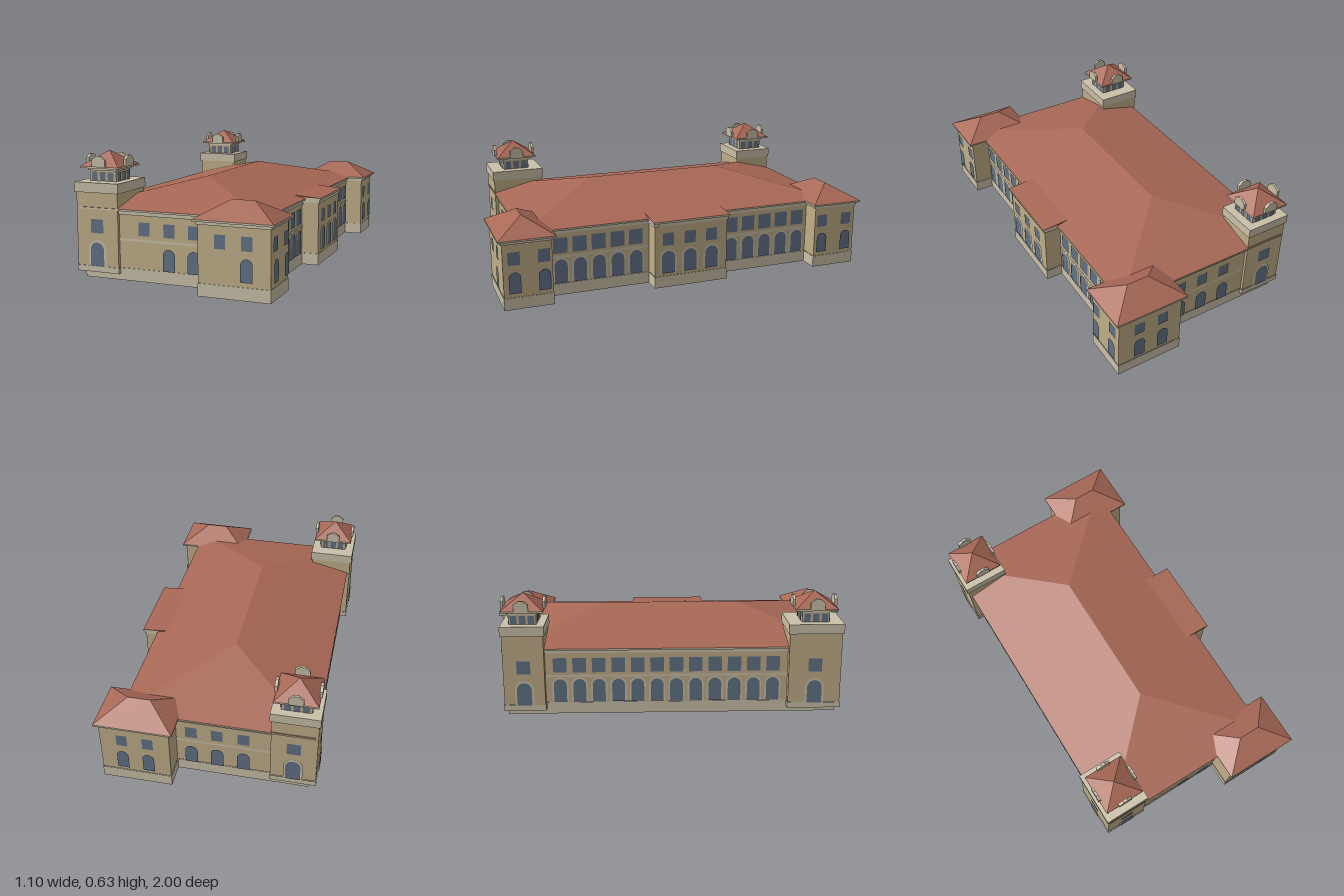
import * as THREE from 'three';
import { ConvexGeometry } from 'three/addons/geometries/ConvexGeometry.js';

const paint = (name, color, side = THREE.FrontSide) => {
  const m = new THREE.MeshStandardMaterial({ color, side });
  m.name = name;
  return m;
};

export function createModel() {
  const wall = paint('sandstone', 0xc0ae88, THREE.DoubleSide);
  const trim = paint('pale stone', 0xcac0aa, THREE.DoubleSide);
  const tile = paint('roof tile', 0xa86856);
  const glass = paint('window glass', 0x627286, THREE.DoubleSide);
  const model = new THREE.Group();
  model.name = 'building';

  const part = (name) => {
    const g = new THREE.Group();
    g.name = name;
    model.add(g);
    return g;
  };
  const add = (g, name, geo, mat) => {
    const m = new THREE.Mesh(geo, mat);
    m.name = name;
    g.add(m);
    return m;
  };

  // Rectangles are [x0, x1, z0, z1]
  const grow = ([a, b, c, d], e) => [a - e, b + e, c - e, d + e];
  const place = (geo, [a, b, c, d], y0, y1) =>
    geo.scale(b - a, y1 - y0, d - c).translate((a + b) / 2, (y0 + y1) / 2, (c + d) / 2);
  // Solid block
  const block = (g, name, r, y0, y1, mat) =>
    add(g, name, place(new THREE.BoxGeometry(1, 1, 1), r, y0, y1), mat);
  // Four walls, open above and below
  const shell = (g, name, r, y0, y1, mat) => {
    const s = Math.SQRT1_2;
    const geo = new THREE.CylinderGeometry(s, s, 1, 4, 1, true).rotateY(Math.PI / 4).toNonIndexed();
    place(geo, r, y0, y1).computeVertexNormals();
    return add(g, name, geo, mat);
  };
  // Hipped roof from an eaves rectangle and ridge points
  const roof = (g, name, [a, b, c, d], y, ridge) => {
    const pts = [[a, y, c], [b, y, c], [a, y, d], [b, y, d], ...ridge];
    return add(g, name, new ConvexGeometry(pts.map((p) => new THREE.Vector3(...p))), tile);
  };

  // Flat panel on a wall facing: u runs along the wall, d is the wall plane
  const turn = { front: 0, right: Math.PI / 2, back: Math.PI, left: -Math.PI / 2 };
  const panel = (g, name, side, u, d, w, y0, y1, arched, mat, lift) => {
    const h = w / 2, s = new THREE.Shape();
    s.moveTo(-h, y0).lineTo(h, y0);
    if (arched) s.lineTo(h, y1 - h).absarc(0, y1 - h, h, 0, Math.PI, false);
    else s.lineTo(h, y1).lineTo(-h, y1);
    s.lineTo(-h, y0);
    const m = add(g, name, new THREE.ShapeGeometry(s, 10), mat);
    const out = side === 'front' || side === 'right' ? d + lift : d - lift;
    m.rotation.y = turn[side];
    if (side === 'front' || side === 'back') m.position.set(u, 0, out);
    else m.position.set(out, 0, u);
  };
  const square = (g, side, us, d, w, y0 = 0.23, y1 = 0.297) =>
    us.forEach((u) => panel(g, 'window', side, u, d, w, y0, y1, false, glass, 0.004));
  const arch = (g, side, us, d, w, y0, y1, border = 0) =>
    us.forEach((u) => {
      if (border) panel(g, 'archTrim', side, u, d, w + 2 * border, y0, y1 + border, true, trim, 0.005);
      panel(g, 'archedWindow', side, u, d, w, y0, y1, true, glass, 0.008);
    });

  // Main block
  const main = part('mainBlock');
  const M = [-0.505, 0.425, -0.855, 0.845];
  shell(main, 'base', grow(M, 0.002), 0, 0.062, trim);
  shell(main, 'walls', M, 0.062, 0.33, wall);
  shell(main, 'floorBand', grow(M, 0.003), 0.2, 0.212, trim);
  block(main, 'cornice', grow(M, 0.006), 0.33, 0.349, trim);
  const eaves = [-0.53, 0.445, -0.875, 0.865];
  block(main, 'soffit', eaves, 0.349, 0.358, trim);
  roof(main, 'mainRoof', eaves, 0.358, [[-0.04, 0.477, -0.38], [-0.04, 0.477, 0.375]]);
  square(main, 'front', [-0.175, -0.04, 0.092], M[3], 0.06);
  arch(main, 'front', [-0.04, 0.092], M[3], 0.065, 0.064, 0.174);
  square(main, 'back', [-0.175, -0.04, 0.092], M[2], 0.06);
  arch(main, 'back', [-0.175, -0.04, 0.092], M[2], 0.065, 0.064, 0.174);
  // Arcaded wings on one long side
  for (const start of [0.27, -0.673]) {
    const bays = [0, 1, 2, 3, 4].map((i) => start + i * 0.1);
    square(main, 'right', bays, M[1], 0.074, 0.225, 0.307);
    arch(main, 'right', bays, M[1], 0.068, 0.066, 0.193, 0.01);
  }
  // Continuous arcade on the opposite side
  const arcade = Array.from({ length: 12 }, (_, i) => -0.585 + i * 0.1);
  square(main, 'left', arcade, M[0], 0.07, 0.225, 0.303);
  arch(main, 'left', arcade, M[0], 0.066, 0.066, 0.19, 0.009);

  // Projecting centre bay
  const bay = part('centreBay');
  const C = [0.4, 0.515, -0.207, 0.197];
  shell(bay, 'base', grow(C, 0.002), 0, 0.062, trim);
  shell(bay, 'walls', C, 0.062, 0.335, wall);
  block(bay, 'cornice', grow(C, 0.006), 0.335, 0.352, trim);
  const bayEaves = [0.38, 0.528, -0.217, 0.206];
  block(bay, 'soffit', bayEaves, 0.352, 0.362, trim);
  roof(bay, 'bayRoof', bayEaves, 0.362, [[0.38, 0.374, -0.217], [0.38, 0.374, 0.206]]);
  square(bay, 'right', [-0.117, 0.004, 0.125], C[1], 0.062);
  arch(bay, 'right', [-0.117, 0.004, 0.125], C[1], 0.072, 0.08, 0.2, 0.01);

  // Corner pavilions
  for (const s of [1, -1]) {
    const g = part(s > 0 ? 'frontPavilion' : 'backPavilion');
    const P = s > 0 ? [0.17, 0.525, 0.733, 0.978] : [0.17, 0.525, -0.978, -0.733];
    shell(g, 'base', grow(P, 0.002), 0, 0.062, trim);
    shell(g, 'walls', P, 0.062, 0.337, wall);
    block(g, 'cornice', grow(P, 0.006), 0.337, 0.352, trim);
    const E = grow(P, 0.021);
    block(g, 'soffit', E, 0.352, 0.361, trim);
    roof(g, 'pavilionRoof', E, 0.361, [[0.29, 0.442, s * 0.856], [0.405, 0.442, s * 0.856]]);
    const side = s > 0 ? 'front' : 'back', d = s * 0.978;
    square(g, side, [0.28, 0.412], d, 0.055);
    arch(g, side, s > 0 ? [0.412] : [0.28, 0.412], d, 0.06, 0.086, 0.195);
    square(g, 'right', [s * 0.775, s * 0.923], P[1], 0.06);
    arch(g, 'right', [s * 0.775, s * 0.923], P[1], 0.06, 0.086, 0.195);
  }

  // Towers with belvederes
  const cx = -0.427;
  const towers = [
    { name: 'frontTower', T: [-0.543, -0.312, 0.592, 0.862], cz: 0.728, side: 'front' },
    { name: 'backTower', T: [-0.543, -0.312, -0.87, -0.66], cz: -0.765, side: 'back' },
  ];
  for (const { name, T, cz, side } of towers) {
    const g = part(name);
    const around = (rx, rz = rx) => [cx - rx, cx + rx, cz - rz, cz + rz];
    shell(g, 'base', grow(T, 0.003), 0.032, 0.062, trim);
    shell(g, 'walls', T, 0.062, 0.432, wall);
    block(g, 'parapet', grow(T, 0.007), 0.432, 0.482, trim);
    const d = side === 'front' ? T[3] : T[2];
    const mid = (T[2] + T[3]) / 2;
    for (const [f, u, at] of [[side, cx, d], ['left', mid, T[0]]]) {
      square(g, f, [u], at, 0.07, 0.23, 0.3);
      arch(g, f, [u], at, 0.076, 0.062, 0.184, 0.011);
    }

    // Belvedere
    const B = around(0.075, 0.07);
    block(g, 'belvedere', B, 0.482, 0.54, wall);
    block(g, 'belvedereCornice', grow(B, 0.006), 0.535, 0.548, trim);
    block(g, 'belvedereSoffit', around(0.108), 0.548, 0.557, trim);
    roof(g, 'towerRoof', around(0.108), 0.557, [[cx, 0.632, cz]]);
    const steps = [-0.045, 0, 0.045];
    square(g, 'front', steps.map((v) => cx + v), B[3], 0.033, 0.484, 0.528);
    square(g, 'back', steps.map((v) => cx + v), B[2], 0.033, 0.484, 0.528);
    square(g, 'right', steps.map((v) => cz + v), B[1], 0.033, 0.484, 0.528);
    square(g, 'left', steps.map((v) => cz + v), B[0], 0.033, 0.484, 0.528);

    // Gabled crest over each eave
    const crest = new THREE.Shape();
    [[-0.037, 0], [0.037, 0], [0.037, 0.036], [0.012, 0.055], [-0.012, 0.055], [-0.037, 0.036]]
      .forEach(([x, y], i) => (i ? crest.lineTo(x, y) : crest.moveTo(x, y)));
    for (let i = 0; i < 4; i++) {
      const geo = new THREE.ExtrudeGeometry(crest, { depth: 0.014, bevelEnabled: false });
      geo.translate(0, 0.556, 0.1).rotateY((i * Math.PI) / 2).translate(cx, 0, cz);
      add(g, 'crest', geo, trim);
    }
  }
  return model;
}
